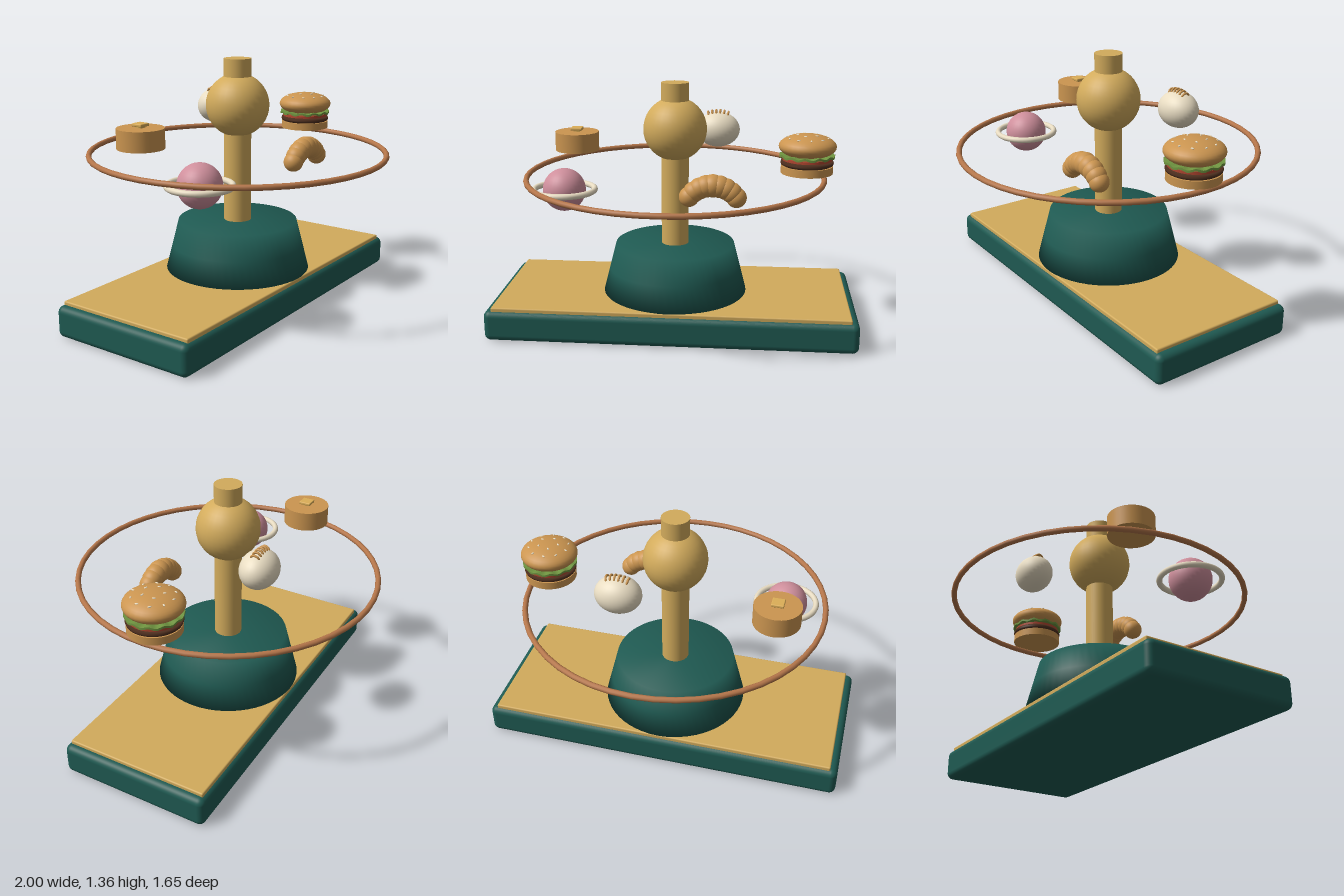
import * as THREE from 'three';
import { RoundedBoxGeometry } from 'three/addons/geometries/RoundedBoxGeometry.js';

const mat = (color) => new THREE.MeshStandardMaterial({ color });
const teal = mat(0x1f5a52), brass = mat(0xd2ab5c), copper = mat(0xb5764a), cream = mat(0xe8dcc2);
const pink = mat(0xcf8f9c), bread = mat(0xcb9550), lettuceGreen = mat(0x6f9440);
const meat = mat(0x50301f), tomatoRed = mat(0xb0452f), butterYellow = mat(0xdcae58);

function add(parent, name, geometry, material, x = 0, y = 0, z = 0) {
  const mesh = new THREE.Mesh(geometry, material);
  mesh.name = name;
  mesh.position.set(x, y, z);
  parent.add(mesh);
  return mesh;
}

function group(parent, name, x, y, z) {
  const g = new THREE.Group();
  g.name = name;
  g.position.set(x, y, z);
  parent.add(g);
  return g;
}

const disc = (r, h) => new THREE.CylinderGeometry(r, r, h, 40);
const ball = (r) => new THREE.SphereGeometry(r, 32, 20);
const lathe = (pts) => new THREE.LatheGeometry(pts.map(([x, y]) => new THREE.Vector2(x, y)), 56);

function hoop(parent, name, R, r, material, y) {
  const geometry = new THREE.TorusGeometry(R, r, 10, 48).rotateX(Math.PI / 2);
  return add(parent, name, geometry, material, 0, y, 0);
}

// Plinth, brass plate, tapered pedestal
function addBase(model) {
  add(model, 'plinth', new RoundedBoxGeometry(2, 0.168, 0.84, 4, 0.035), teal, 0, 0.084, 0);
  add(model, 'brassPlate', new RoundedBoxGeometry(1.92, 0.03, 0.8, 2, 0.008), brass, 0, 0.172, 0);
  add(model, 'pedestal', lathe([[0, 0.186], [0.4, 0.186], [0.365, 0.323], [0.33, 0.46], [0, 0.46]]), teal);
}

// Central post with its globe and the orbit hoop
function addCentre(model) {
  add(model, 'post', disc(0.075, 0.9), brass, 0, 0.905, 0);
  add(model, 'globe', ball(0.173), brass, 0, 1.102, 0);
  hoop(model, 'orbitHoop', 0.81, 0.015, copper, 0.845);
}

function addRingedPlanet(model) {
  const g = group(model, 'ringedPlanet', -0.58, 0.797, 0.185);
  add(g, 'planetBall', ball(0.115), pink);
  hoop(g, 'planetRing', 0.163, 0.016, cream, 0);
}

// Round cake with a pat of butter
function addCake(model) {
  const g = group(model, 'pancake', -0.58, 0.937, -0.19);
  add(g, 'pancakeStack', disc(0.124, 0.106), bread, 0, 0.053, 0);
  add(g, 'butterFoot', new THREE.BoxGeometry(0.036, 0.014, 0.036), butterYellow, 0, 0.11, 0);
  add(g, 'butterPat', new RoundedBoxGeometry(0.066, 0.016, 0.066, 2, 0.005), butterYellow, 0, 0.122, 0);
}

// Oval dumpling with a row of crimps following its top
function addDumpling(model) {
  const g = group(model, 'dumpling', 0.22, 1.047, -0.305);
  add(g, 'dumplingBody', ball(0.1), cream).scale.set(1.25, 1, 1);
  for (let i = -2.5; i <= 2.5; i++) {
    const x = i * 0.021;
    const y = 0.1 * Math.sqrt(1 - (x / 0.125) ** 2) - 0.012;
    const arch = new THREE.TorusGeometry(0.022, 0.006, 8, 14, Math.PI).rotateY(Math.PI / 2);
    add(g, 'crimp', arch, bread, x, y + 0.002, 0).rotation.z = -i * 0.12;
  }
}

function addBurger(model) {
  const g = group(model, 'burger', 0.715, 0, 0);
  add(g, 'bottomBun', disc(0.14, 0.042), bread, 0, 0.895, 0);
  add(g, 'patty', lathe([[0, 0.914], [0.125, 0.914], [0.14, 0.922], [0.143, 0.932], [0.138, 0.944], [0, 0.948]]), meat);
  add(g, 'tomato', disc(0.133, 0.014), tomatoRed, 0, 0.953, 0);

  // Lettuce with a wavy rim
  const leaf = new THREE.CylinderGeometry(0.148, 0.148, 0.012, 72, 1);
  const p = leaf.attributes.position;
  for (let i = 0; i < p.count; i++) {
    const x = p.getX(i), z = p.getZ(i);
    if (Math.hypot(x, z) > 0.1) p.setY(i, p.getY(i) + 0.005 * Math.sin(12 * Math.atan2(z, x)));
  }
  leaf.computeVertexNormals();
  add(g, 'lettuce', leaf, lettuceGreen, 0, 0.97, 0);

  // Domed bun with sesame seeds in two rings
  const cy = 1.02, rx = 0.155, ry = 0.066;
  add(g, 'topBun', ball(1), bread, 0, cy, 0).scale.set(rx, ry, rx);
  for (const [count, r, turn] of [[10, 0.108, 0.2], [5, 0.055, 0.6]]) {
    for (let i = 0; i < count; i++) {
      const a = turn + (i / count) * Math.PI * 2;
      const x = r * Math.cos(a), z = r * Math.sin(a);
      const y = cy + ry * Math.sqrt(1 - (r / rx) ** 2);
      const seed = add(g, 'sesameSeed', new THREE.SphereGeometry(0.01, 10, 8), cream, x, y, z);
      seed.scale.set(0.5, 0.4, 1);
      seed.rotation.y = a * 2.3;
    }
  }
}

// Overlapping lobes along an arch
function addCroissant(model) {
  const g = group(model, 'croissant', 0.222, 0.711, 0.3);
  for (let i = -4; i <= 4; i++) {
    const a = (i / 4) * 0.92;
    const r = 0.06 - 0.007 * Math.abs(i / 4);
    add(g, 'croissantLobe', ball(r), bread, 0.154 * Math.sin(a), 0.154 * Math.cos(a), 0);
  }
}

export function createModel() {
  const model = new THREE.Group();
  model.name = 'foodOrrery';
  addBase(model);
  addCentre(model);
  addRingedPlanet(model);
  addCake(model);
  addDumpling(model);
  addBurger(model);
  addCroissant(model);
  return model;
}
